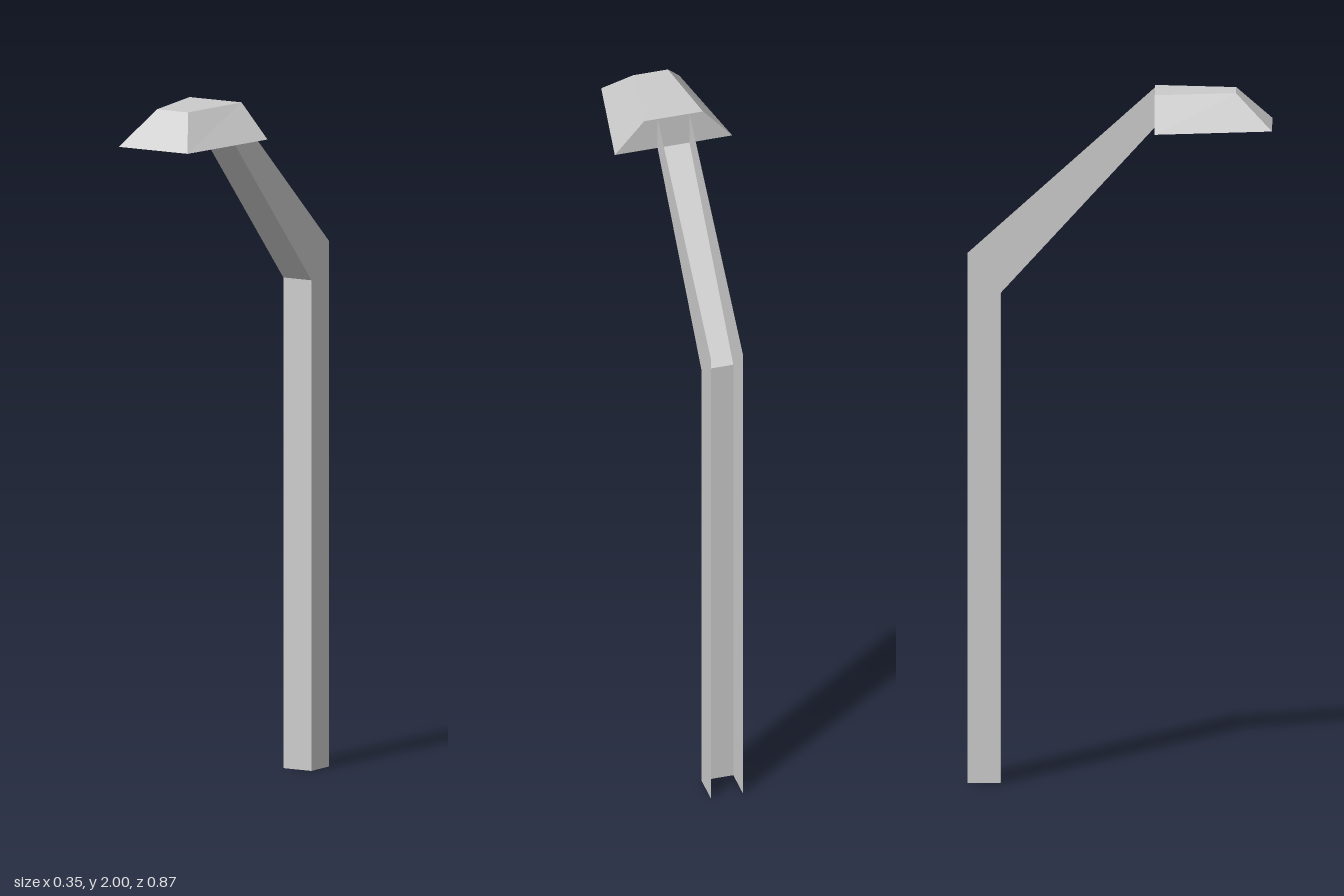
import * as THREE from 'three';

const HALF = 0.0475; // half width of the channel
// inner (front) and outer (back) edges of the channel, as [z, y] from foot to head
const INNER = [[-0.34, 0], [-0.34, 1.42], [0.1, 1.9]];
const OUTER = [[-0.435, 0], [-0.435, 1.52], [0.1, 2]];

function part(name, geometry, material) {
  const mesh = new THREE.Mesh(geometry, material);
  mesh.name = name;
  return mesh;
}

// flat side wall of the post and arm, standing in the z-y plane
function sideWall(x) {
  const points = [...INNER, ...[...OUTER].reverse()].map(([z, y]) => new THREE.Vector2(z, y));
  const geometry = new THREE.ShapeGeometry(new THREE.Shape(points));
  return geometry.rotateY(-Math.PI / 2).translate(x, 0, 0);
}

// folded strip that closes the channel along its inner edge
function frontStrip() {
  const geometry = new THREE.PlaneGeometry(2 * HALF, 1, 1, INNER.length - 1);
  const pos = geometry.attributes.position;
  for (let i = 0; i < pos.count; i++) {
    const [z, y] = INNER[INNER.length - 1 - Math.floor(i / 2)];
    pos.setXYZ(i, pos.getX(i), y, z);
  }
  const flat = geometry.toNonIndexed();
  flat.computeVertexNormals();
  return flat;
}

// lamp head: a box tapered towards the top and the front, with an upright back
function headShell() {
  const geometry = new THREE.BoxGeometry(2, 2, 2);
  const pos = geometry.attributes.position;
  for (let i = 0; i < pos.count; i++) {
    const top = pos.getY(i) > 0;
    const front = pos.getZ(i) > 0;
    const halfWidth = top ? (front ? 0.052 : 0.0875) : (front ? 0.116 : 0.175);
    const z = front ? (top ? 0.332 : 0.435) : 0.1;
    pos.setXYZ(i, Math.sign(pos.getX(i)) * halfWidth, top ? 2 : 1.9, z);
  }
  geometry.computeVertexNormals();
  return geometry;
}

export function createModel() {
  const sheet = new THREE.MeshStandardMaterial({ color: 0xcccccc, flatShading: true, side: THREE.DoubleSide });
  const solid = new THREE.MeshStandardMaterial({ color: 0xcccccc, flatShading: true });

  // post and arm: a thin channel, open at the back and at the foot
  const post = new THREE.Group();
  post.name = 'postAndArm';
  post.add(
    part('leftWall', sideWall(HALF), sheet),
    part('rightWall', sideWall(-HALF), sheet),
    part('frontStrip', frontStrip(), sheet),
  );

  const model = new THREE.Group();
  model.name = 'streetLamp';
  model.add(post, part('lampHead', headShell(), solid));
  return model;
}
